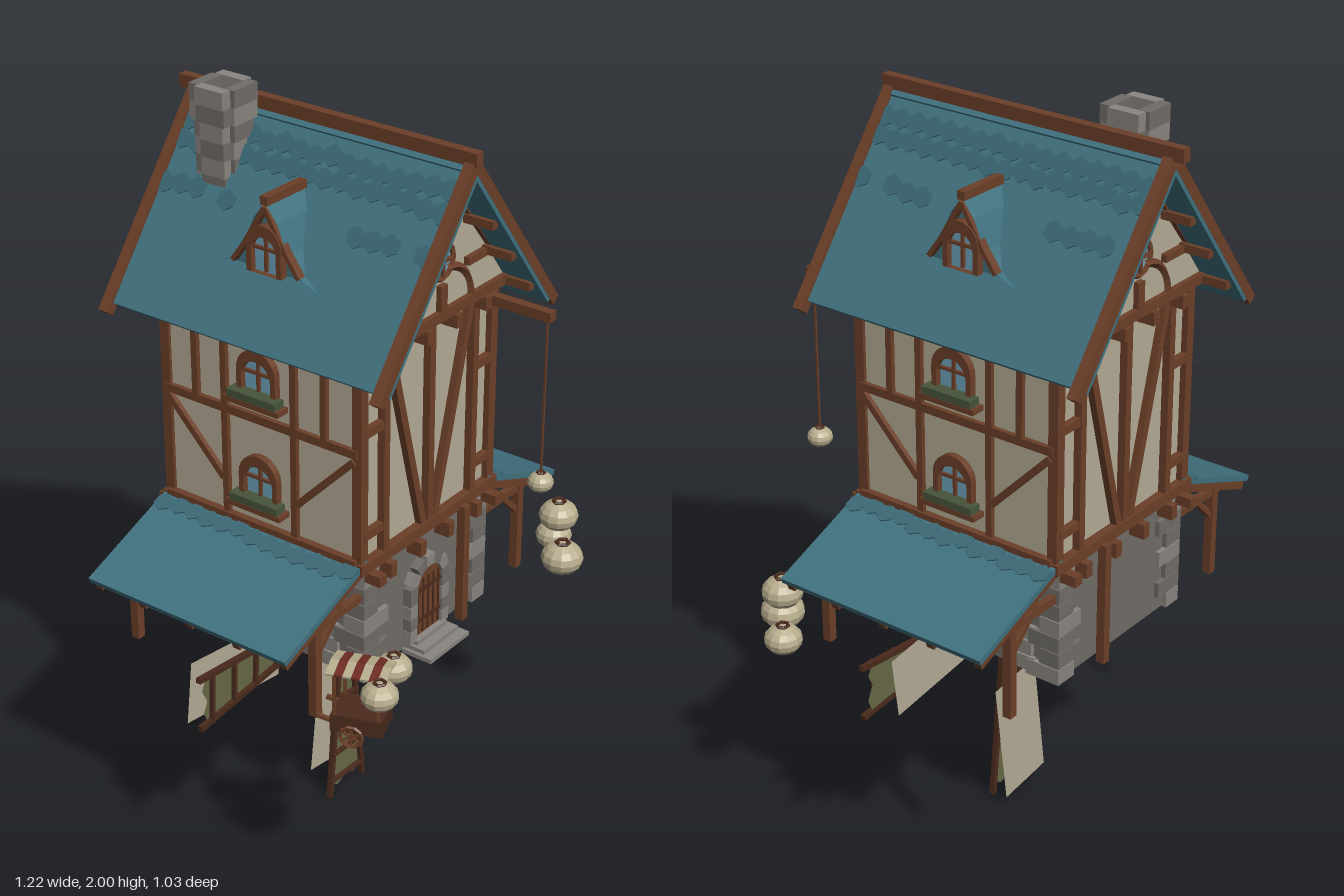
import * as THREE from 'three';

const paint = (color, side = THREE.FrontSide) => new THREE.MeshStandardMaterial({ color, side, flatShading: true });
const WOOD = paint(0x6b3f28), DARK = paint(0x4a2a1c), TEAL = paint(0x40717f, THREE.DoubleSide), TILE = paint(0x3b6875);
const PLASTER = paint(0xb5ab95, THREE.DoubleSide), STONE = paint(0x716d69), LIGHTSTONE = paint(0x8a8580);
const GLASS = paint(0x6fa3bd), CLOTH = paint(0x666746, THREE.DoubleSide), PAPER = paint(0xb8ad8e);
const GREEN = paint(0x47543a), RED = paint(0x6e2b25);

let seed = 7;
const rnd = () => ((seed = (seed * 16807) % 2147483647) / 2147483647);
const V = (x, y, z) => new THREE.Vector3(x, y, z);

function add(parent, name, geo, mat, x = 0, y = 0, z = 0) {
  const m = new THREE.Mesh(geo, mat);
  m.name = name;
  m.position.set(x, y, z);
  parent.add(m);
  return m;
}
const box = (p, name, mat, w, h, d, x, y, z) => add(p, name, new THREE.BoxGeometry(w, h, d), mat, x, y, z);
function group(parent, name, x = 0, y = 0, z = 0) {
  const g = new THREE.Group();
  g.name = name;
  g.position.set(x, y, z);
  parent.add(g);
  return g;
}
// squared timber between two points
function beam(p, name, a, b, w = 0.022, d = w, mat = WOOD) {
  const dir = b.clone().sub(a);
  const m = add(p, name, new THREE.BoxGeometry(w, dir.length(), d), mat);
  m.position.copy(a).add(b).multiplyScalar(0.5);
  m.quaternion.setFromUnitVectors(V(0, 1, 0), dir.normalize());
  return m;
}
// beams given as [x1, y1, x2, y2], all lying on one wall plane
const timbers = (p, z, list, w = 0.022) =>
  list.forEach(([a, b, c, d]) => beam(p, 'timber', V(a, b, z), V(c, d, z), w, 0.022));

function archPath(target, w, h) {
  const r = w / 2;
  target.moveTo(-r, 0);
  target.lineTo(r, 0);
  target.lineTo(r, h - r);
  target.absarc(0, h - r, r, 0, Math.PI, false);
  target.lineTo(-r, 0);
  return target;
}
const archShape = (w, h) => archPath(new THREE.Shape(), w, h);

function archWindow(p, y, z, w, h, sill) {
  const g = group(p, 'archedWindow', 0, y, z);
  const frame = archShape(w, h);
  const hole = archPath(new THREE.Path(), w - 0.03, h - 0.03);
  frame.holes.push(hole);
  add(g, 'windowFrame', new THREE.ExtrudeGeometry(frame, { depth: 0.022, bevelEnabled: false, curveSegments: 6 }), WOOD);
  add(g, 'pane', new THREE.ShapeGeometry(archShape(w - 0.02, h - 0.02), 6), GLASS, 0, 0, 0.006);
  box(g, 'mullion', WOOD, 0.008, h - 0.01, 0.012, 0, h / 2, 0.008);
  box(g, 'crossbar', WOOD, w - 0.01, 0.008, 0.012, 0, h * 0.5, 0.008);
  if (sill) {
    box(g, 'sill', WOOD, w + 0.05, 0.014, 0.05, 0, -0.01, 0.02);
    box(g, 'flowerBox', GREEN, w + 0.03, 0.022, 0.036, 0, 0.006, 0.026);
  }
}

function lantern(p, x, y, z, r) {
  const g = group(p, 'paperLantern', x, y, z);
  add(g, 'lanternBody', new THREE.SphereGeometry(r, 12, 8), PAPER).scale.y = 0.78;
  const cap = add(g, 'lanternCap', new THREE.TorusGeometry(r * 0.3, r * 0.1, 5, 6), DARK, 0, r * 0.78, 0);
  cap.rotation.x = Math.PI / 2;
}

// gable end, facing +z
function gableEnd(house, turn) {
  const g = group(house, 'gableEnd');
  g.rotation.y = turn;
  const tri = new THREE.Shape([[-0.28, 1.5], [0.28, 1.5], [0.28, 1.55], [0, 1.9], [-0.28, 1.55]].map(([x, y]) => new THREE.Vector2(x, y)));
  add(g, 'gableWall', new THREE.ExtrudeGeometry(tri, { depth: 0.06, bevelEnabled: false }), PLASTER, 0, 0, 0.27);
  timbers(g, 0.305, [[0, 0.93, 0, 1.5], [-0.185, 0.95, -0.185, 1.5], [0.185, 0.95, 0.185, 1.5]]);
  timbers(g, 0.334, [[-0.29, 1.52, 0.29, 1.52], [0, 1.52, 0, 1.6], [0, 1.71, 0, 1.9]], 0.026);
  beam(g, 'sillBeam', V(-0.29, 0.935, 0.305), V(0.29, 0.935, 0.305), 0.03);
  for (const s of [-1, 1]) {
    beam(g, 'cornerPost', V(s * 0.27, 0.93, 0.298), V(s * 0.27, 1.52, 0.298), 0.028);
    timbers(g, 0.303, [[s * 0.165, 1.48, s * 0.025, 0.95], [s * 0.27, 1.3, s * 0.185, 1.3], [s * 0.27, 1.02, s * 0.185, 1.02]]);
    timbers(g, 0.334, [[s * 0.2, 1.625, s * 0.1, 1.625], [s * 0.29, 1.53, 0, 1.885]], 0.02);
    const arc = add(g, 'curvedBrace', new THREE.TorusGeometry(0.105, 0.011, 4, 8, Math.PI / 2), WOOD, s * 0.02, 1.53, 0.335);
    arc.rotation.y = s < 0 ? Math.PI : 0;
    for (const x of [0.06, 0.185]) {
      box(g, 'jettyBracket', WOOD, 0.024, 0.035, 0.05, s * x, 1.487, 0.325);
      box(g, 'lowerBracket', WOOD, 0.024, 0.04, 0.06, s * x, 0.9, 0.31);
    }
    // rafters on the overhang and purlin ends under it
    beam(g, 'bargeBoard', V(0, 1.925, 0.415), V(s * 0.365, 1.45, 0.415), 0.028);
    for (const t of [0.3, 0.55, 0.8]) box(g, 'purlinEnd', WOOD, 0.022, 0.022, 0.1, s * 0.34 * t, 1.87 - 0.44 * t, 0.365);
  }
  add(g, 'roundFrame', new THREE.TorusGeometry(0.045, 0.009, 5, 12), WOOD, 0, 1.66, 0.334);
  add(g, 'roundPane', new THREE.CircleGeometry(0.044, 12), GLASS, 0, 1.66, 0.334);
  timbers(g, 0.332, [[0, 1.62, 0, 1.7], [-0.04, 1.66, 0.04, 1.66]], 0.008);
}

// long side with its roof slope, dormer and lean-to, facing +z
function longSide(house, turn) {
  const g = group(house, 'longSide');
  g.rotation.y = turn;
  timbers(g, 0.277, [[-0.3, 1.25, 0.3, 1.25], [-0.3, 1.47, 0.3, 1.47]]);
  beam(g, 'sillBeam', V(-0.3, 0.945, 0.28), V(0.3, 0.945, 0.28), 0.028);
  for (const s of [-1, 1])
    timbers(g, 0.277, [[s * 0.108, 0.95, s * 0.108, 1.5], [s * 0.2, 1.25, s * 0.2, 1.48], [s * 0.29, 1.23, s * 0.115, 1.05]], 0.018);
  archWindow(g, 1.31, 0.272, 0.12, 0.13, true);
  archWindow(g, 1.02, 0.272, 0.12, 0.13, true);

  // roof slope with scattered raised tiles
  const slope = group(g, 'roofSlope', 0, 1.93, 0);
  slope.rotation.x = Math.atan(1.3);
  box(slope, 'roofSlab', TEAL, 0.857, 0.028, 0.575, 0, -0.014, 0.2875);
  for (const d of [0.075, 0.125, 0.24])
    for (let i = 0; i < 17; i++) {
      const x = -0.39 + i * 0.0487;
      if (d > 0.2 && (rnd() < 0.5 || Math.abs(x) < 0.16)) continue;
      const t = add(slope, 'roofTile', new THREE.CylinderGeometry(0.028, 0.028, 0.008, 6), TILE, x, 0.001, d + rnd() * 0.012);
      t.rotation.x = 0.08;
    }

  // flared dormer, each profile point carried back to the main slope
  const prof = [[-0.15, 1.617], [-0.1, 1.64], [-0.065, 1.69], [-0.035, 1.76], [0, 1.805], [0.035, 1.76], [0.065, 1.69], [0.1, 1.64], [0.15, 1.617]];
  const pos = [], idx = [];
  prof.forEach(([x, y], i) => {
    pos.push(x, y, 0.245, x, y, (1.93 - y) / 1.3 - 0.005);
    if (i) idx.push(2 * i - 2, 2 * i, 2 * i - 1, 2 * i, 2 * i + 1, 2 * i - 1);
  });
  const cover = new THREE.BufferGeometry();
  cover.setAttribute('position', new THREE.Float32BufferAttribute(pos, 3));
  cover.setIndex(idx);
  cover.computeVertexNormals();
  add(g, 'dormerRoof', cover, TEAL);
  const face = new THREE.Shape(prof.map(([x, y]) => new THREE.Vector2(x, y)));
  add(g, 'dormerFace', new THREE.ShapeGeometry(face), TEAL, 0, 0, 0.232);
  archWindow(g, 1.625, 0.233, 0.105, 0.125, false);
  for (const s of [-1, 1]) timbers(g, 0.24, [[s * 0.1, 1.637, s * 0.062, 1.69], [s * 0.062, 1.69, 0, 1.795]], 0.012);
  beam(g, 'dormerRidge', V(0, 1.81, 0.1), V(0, 1.812, 0.25), 0.022);

  // lean-to roof on posts
  const lean = group(g, 'leanToRoof', 0, 0.955, 0.262);
  lean.rotation.x = 0.37;
  box(lean, 'leanToSlab', TEAL, 0.627, 0.016, 0.348, 0, -0.008, 0.174);
  for (let i = 0; i < 13; i++)
    add(lean, 'roofTile', new THREE.CylinderGeometry(0.028, 0.028, 0.006, 6), TILE, -0.29 + i * 0.0483, 0.001, 0.05 + rnd() * 0.015);
  for (const x of [-0.295, -0.15, 0, 0.15, 0.295]) box(lean, 'rafter', WOOD, 0.022, 0.026, 0.335, x, -0.028, 0.175);
  beam(g, 'leanToPurlin', V(-0.305, 0.845, 0.44), V(0.305, 0.845, 0.44), 0.024);
  for (const x of [-0.29, 0.29]) {
    beam(g, 'leanToPost', V(x, 0.59, 0.44), V(x, 0.85, 0.44), 0.024);
    beam(g, 'kneeBrace', V(x, 0.76, 0.44), V(x, 0.86, 0.34), 0.016);
    beam(g, 'tieBeam', V(x, 0.84, 0.25), V(x, 0.84, 0.45), 0.02);
  }
  for (const x of [-0.2, 0.2]) for (let i = 0; i < 3; i++)
    box(g, 'wallStone', LIGHTSTONE, 0.04 + rnd() * 0.03, 0.04, 0.02, x, 0.62 + i * 0.045, 0.252);
}

function groundFloor(house) {
  const g = group(house, 'groundFloor');
  box(g, 'stoneWalls', STONE, 0.5, 0.34, 0.59, 0, 0.765, 0);
  for (const sx of [-1, 1]) for (const sz of [-1, 1])
    for (let i = 0; i < 7; i++) {
      const long = i % 2 ? 0.09 : 0.055, w = long + rnd() * 0.012, d = 0.145 - long + rnd() * 0.012;
      box(g, 'cornerStone', i % 3 ? STONE : LIGHTSTONE, w, 0.043, d, sx * (0.265 - w / 2), 0.614 + i * 0.046, sz * (0.308 - d / 2));
    }
  // floor joists poking out at both ends
  for (const x of [-0.25, 0.25]) beam(g, 'floorBeam', V(x, 0.905, -0.355), V(x, 0.905, 0.355), 0.028);
  beam(g, 'frontPost', V(0.135, 0.59, 0.325), V(0.135, 0.93, 0.325), 0.024);
  beam(g, 'backPost', V(0.1, 0.59, -0.325), V(0.1, 0.93, -0.325), 0.024);
  // arched door with its stone surround and steps
  const door = group(g, 'door', 0, 0.615, 0.3);
  add(door, 'doorLeaf', new THREE.ExtrudeGeometry(archShape(0.11, 0.2), { depth: 0.012, bevelEnabled: false, curveSegments: 6 }), WOOD);
  for (let i = -2; i <= 2; i++) box(door, 'doorPlank', DARK, 0.004, 0.16, 0.004, i * 0.022, 0.09, 0.013);
  for (const y of [0.05, 0.14]) box(door, 'hinge', DARK, 0.1, 0.01, 0.006, 0, y, 0.014);
  for (const s of [-1, 1]) for (let i = 0; i < 4; i++)
    box(door, 'jambStone', i % 2 ? STONE : LIGHTSTONE, 0.03, 0.035, 0.03, s * 0.068, 0.018 + i * 0.037, 0.005);
  for (let i = 0; i <= 6; i++) {
    const a = (i * Math.PI) / 6;
    const m = box(door, 'archStone', i % 2 ? LIGHTSTONE : STONE, 0.032, 0.033, 0.03, Math.cos(a) * 0.069, 0.147 + Math.sin(a) * 0.069, 0.005);
    m.rotation.z = a;
  }
  for (let i = 0; i < 3; i++) box(g, 'step', LIGHTSTONE, 0.17 - i * 0.02, 0.012, 0.09 - i * 0.028, 0, 0.591 + i * 0.012, 0.34 - i * 0.014);
}

// sails hanging below the house: ladder frame, cloth and a loose panel behind
function sails(root) {
  const g = group(root, 'sails', -0.015, 0.6, -0.01);
  beam(g, 'axle', V(0, -0.015, 0.03), V(0, -0.015, -0.15), 0.022);
  box(g, 'hub', DARK, 0.05, 0.05, 0.03, 0, -0.01, 0);
  for (const turn of [-Math.PI / 2, 0, Math.PI / 2]) {
    const b = group(g, 'sail');
    b.rotation.z = turn;
    beam(b, 'spar', V(0, 0, 0), V(0, -0.12, 0), 0.016, 0.016, DARK);
    for (const s of [-1, 1]) beam(b, 'rail', V(s * 0.02, -0.08, 0), V(s * 0.072, -0.595, 0), 0.014, 0.014, DARK);
    const cloth = new THREE.Shape([[-0.025, -0.09], [0.025, -0.09], [0.07, -0.56], [0.04, -0.575], [0.01, -0.56], [-0.03, -0.578], [-0.07, -0.56]].map(([x, y]) => new THREE.Vector2(x, y)));
    add(b, 'sailCloth', new THREE.ShapeGeometry(cloth), CLOTH, 0, 0, -0.004);
    for (let i = 0; i < 6; i++) {
      const y = -0.12 - i * 0.085, w = 0.03 + i * 0.009;
      beam(b, 'rung', V(-w, y, 0.003), V(w, y - 0.006, 0.003), 0.009, 0.012, DARK);
    }
    add(b, 'loosePanel', new THREE.PlaneGeometry(0.17, 0.366), PLASTER, 0.042, -0.37, -0.07).rotation.z = -0.13;
  }
}

function cart(root) {
  const g = group(root, 'marketCart', -0.47, 0, 0.385);
  g.rotation.y = 0.36;
  box(g, 'cartBox', DARK, 0.1, 0.045, 0.13, 0, 0.66, 0);
  for (const s of [-1, 1]) {
    for (const z of [-0.055, 0.055]) beam(g, 'cartPole', V(s * 0.045, 0.64, z), V(s * 0.045, 0.8, z), 0.008);
    const wheel = add(g, 'cartWheel', new THREE.TorusGeometry(0.028, 0.005, 5, 10), WOOD, s * 0.056, 0.632, -0.01);
    wheel.rotation.y = Math.PI / 2;
    for (const a of [0, 1, 2]) box(g, 'spoke', WOOD, 0.005, 0.052, 0.005, s * 0.056, 0.632, -0.01).rotation.x = (a * Math.PI) / 3;
    beam(g, 'cartHandle', V(s * 0.04, 0.66, -0.06), V(s * 0.04, 0.67, -0.1), 0.01);
    lantern(g, s * 0.061, 0.77, 0.062, 0.047);
    for (let i = 0; i < 7; i++) box(g, 'awningStripe', i % 2 ? RED : PAPER, 0.053, 0.006, 0.0215, s * 0.026, 0.803, -0.065 + i * 0.0215).rotation.z = -s * 0.2;
  }
}

export function createModel() {
  const root = new THREE.Group();
  root.name = 'timberHouse';
  const house = group(root, 'house', -0.015, 0, -0.058);
  groundFloor(house);
  box(house, 'upperWalls', PLASTER, 0.55, 0.6, 0.59, 0, 1.225, 0);
  for (const turn of [0, Math.PI]) {
    gableEnd(house, turn);
    longSide(house, turn + Math.PI / 2);
  }
  beam(house, 'ridgeBeam', V(0, 1.94, -0.457), V(0, 1.94, 0.435), 0.026, 0.034);

  // hollow chimney laid in uneven courses
  const chimney = group(root, 'chimney', -0.098, 0, -0.315);
  for (let i = 0; i < 6; i++) {
    const r = i > 3 ? 0.046 : 0.038, y = 1.752 + i * 0.045;
    for (let k = 0; k < 4; k++) {
      const side = group(chimney, 'course');
      side.rotation.y = (k * Math.PI) / 2;
      box(side, 'chimneyStone', (i + k) % 2 ? STONE : LIGHTSTONE, r * 1.9, 0.045, 0.03, r * 0.2, y, r + rnd() * 0.005);
    }
  }

  // lantern hung from a bracket, and a floating cluster
  beam(root, 'lanternArm', V(0.205, 1.483, 0.26), V(0.205, 1.483, 0.455), 0.026);
  beam(root, 'lanternRope', V(0.205, 1.48, 0.44), V(0.205, 1.04, 0.44), 0.005);
  lantern(root, 0.205, 1.02, 0.44, 0.034);
  [[0.505, 0.74, 0.315, 0.054], [0.46, 0.645, 0.36, 0.058], [0.555, 0.64, 0.272, 0.05]].forEach((l) => lantern(root, ...l));
  sails(root);
  cart(root);
  return root;
}
